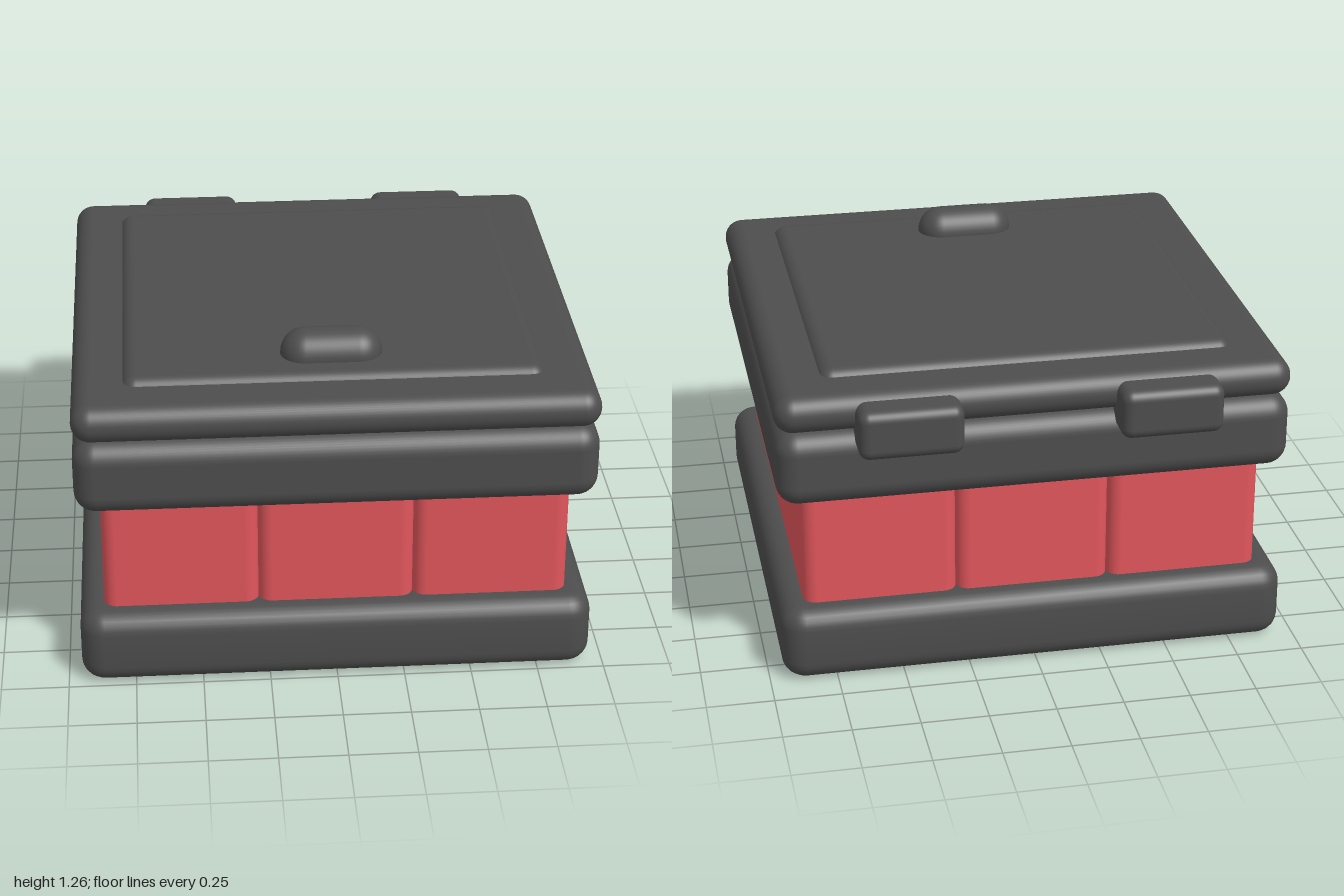
import * as THREE from 'three';
import { RoundedBoxGeometry } from 'three/addons/geometries/RoundedBoxGeometry.js';
import { toCreasedNormals } from 'three/addons/utils/BufferGeometryUtils.js';

const dark = new THREE.MeshStandardMaterial({ color: 0x4d4d4d });
const red = new THREE.MeshStandardMaterial({ color: 0xe0565c });
const BODY_Z = 0.05; // the body sits forward to leave room for the hinges

// Rounded box given by its minimum and maximum corners
function block(name, min, max, radius, material) {
  const size = max.map((v, i) => v - min[i]);
  const mesh = new THREE.Mesh(new RoundedBoxGeometry(...size, 5, radius), material);
  mesh.position.set(...max.map((v, i) => (v + min[i]) / 2));
  mesh.name = name;
  return mesh;
}

// Traces a square with rounded corners on a shape or path
function roundedSquare(path, h, r) {
  path.moveTo(h, -h + r);
  path.lineTo(h, h - r);
  path.absarc(h - r, h - r, r, 0, Math.PI / 2);
  path.lineTo(-h + r, h);
  path.absarc(-h + r, h - r, r, Math.PI / 2, Math.PI);
  path.lineTo(-h, -h + r);
  path.absarc(-h + r, -h + r, r, Math.PI, Math.PI * 1.5);
  path.lineTo(h - r, -h);
  path.absarc(h - r, -h + r, r, Math.PI * 1.5, Math.PI * 2);
  return path;
}

// Open square frame with rounded edges, lying flat from y0 to y1
function frame(name, y0, y1) {
  const bevel = 0.075;
  const shape = roundedSquare(new THREE.Shape(), 0.95 - bevel, 0.015);
  shape.holes.push(roundedSquare(new THREE.Path(), 0.83, 0.03));
  const geometry = new THREE.ExtrudeGeometry(shape, {
    depth: y1 - y0 - 2 * bevel, bevelThickness: bevel, bevelSize: bevel,
    bevelSegments: 6, curveSegments: 5,
  });
  geometry.rotateX(-Math.PI / 2);
  const mesh = new THREE.Mesh(toCreasedNormals(geometry, 0.7), dark);
  mesh.position.set(0, y0 + bevel, BODY_Z);
  mesh.name = name;
  return mesh;
}

export function createModel() {
  const group = new THREE.Group();
  group.name = 'chest';

  // Base frame, with the planks showing through underneath
  group.add(frame('baseFrame', 0, 0.285));

  // Three solid planks side by side form the body
  const width = 1.72 / 3;
  for (let i = 0; i < 3; i++) {
    const x = -0.86 + i * width;
    group.add(block('bodyPlank', [x, 0, -0.81], [x + width, 0.95, 0.905], 0.05, red));
  }

  // Upper rim, lid and raised lid panel
  group.add(block('upperRim', [-0.95, 0.715, -0.9], [0.95, 1.0, 1.0], 0.08, dark));
  group.add(block('lid', [-0.95, 1.0, -0.9], [0.95, 1.142, 1.0], 0.07, dark));
  group.add(block('lidPanel', [-0.77, 1.03, -0.72], [0.77, 1.166, 0.815], 0.055, dark));

  // Handle on the front of the lid
  group.add(block('lidHandle', [-0.187, 1.075, 0.525], [0.187, 1.26, 0.71], 0.092, dark));

  // Hinge blocks on the back
  for (const x of [-0.475, 0.475]) {
    group.add(block('hinge', [x - 0.19, 0.93, -1.0], [x + 0.19, 1.117, -0.81], 0.04, dark));
  }
  return group;
}
